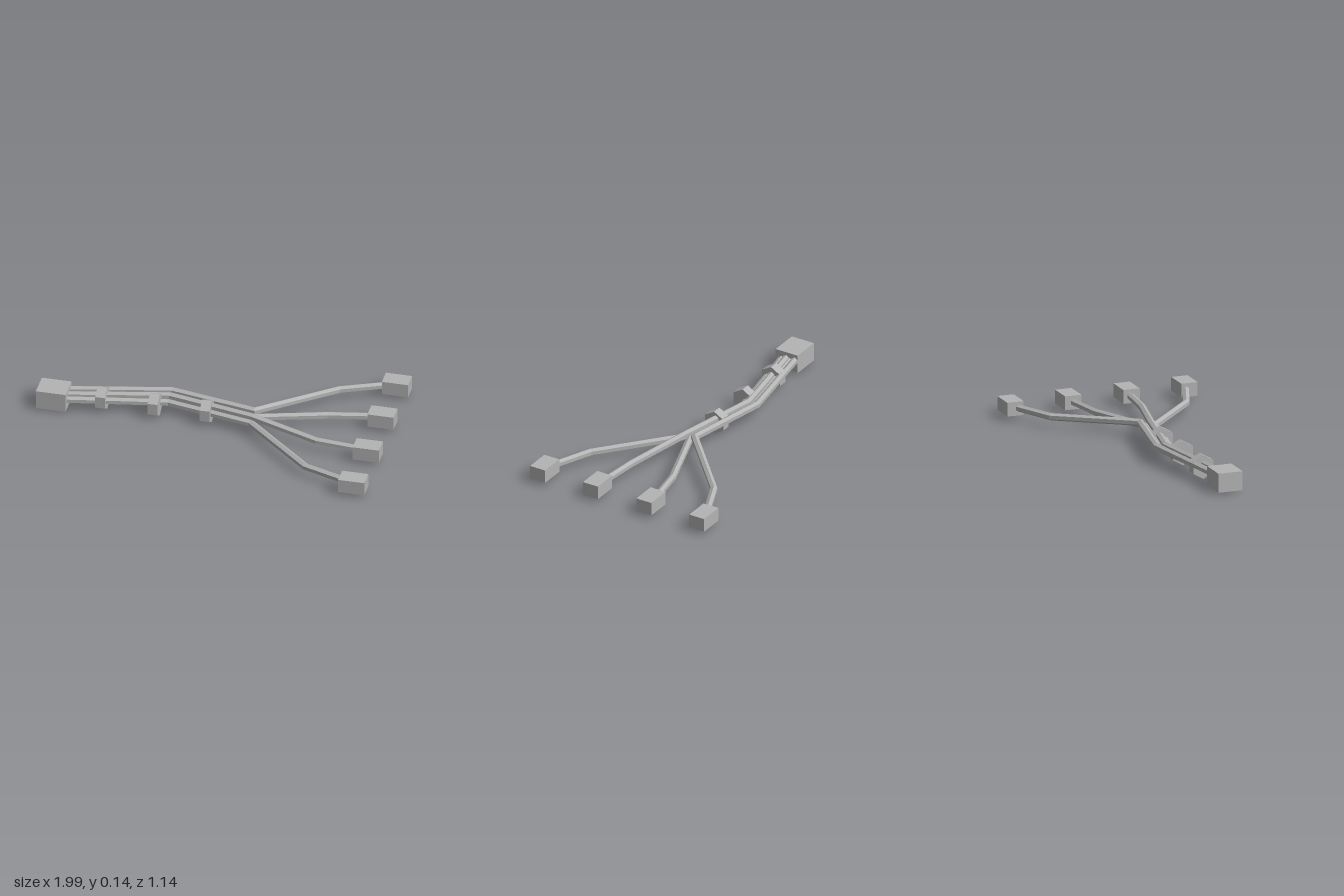
import * as THREE from 'three';

// Hexagonal cable swept along a polyline, mitred at each bend, one corner up
function cableGeometry(points, radius) {
  const sides = 6, rings = [];
  const up = new THREE.Vector3(0, 1, 0);
  points.forEach((p, i) => {
    const before = points[Math.max(i - 1, 0)], after = points[Math.min(i + 1, points.length - 1)];
    const a = new THREE.Vector3().subVectors(p, before).normalize();
    const b = new THREE.Vector3().subVectors(after, p).normalize();
    const tangent = a.clone().add(b).normalize();
    const lateral = new THREE.Vector3().crossVectors(tangent, up).normalize();
    const mitre = 1 / Math.max(tangent.dot(i ? a : b), 0.5);
    const ring = [];
    for (let k = 0; k < sides; k++) {
      const angle = Math.PI / 2 + (k * Math.PI * 2) / sides;
      ring.push(p.clone()
        .addScaledVector(lateral, Math.cos(angle) * radius * mitre)
        .addScaledVector(up, Math.sin(angle) * radius));
    }
    rings.push(ring);
  });
  const corners = [];
  for (let i = 0; i < rings.length - 1; i++) {
    for (let k = 0; k < sides; k++) {
      const n = (k + 1) % sides;
      const a = rings[i][k], b = rings[i + 1][k], c = rings[i + 1][n], d = rings[i][n];
      corners.push(a, b, c, a, c, d);
    }
  }
  const geometry = new THREE.BufferGeometry().setFromPoints(corners);
  geometry.computeVertexNormals();
  return geometry;
}

export function createModel() {
  const model = new THREE.Group();
  model.name = 'cableHarness';
  const grey = new THREE.MeshStandardMaterial({ color: 0xb4b4b4 });
  grey.name = 'plainGrey';
  grey.flatShading = true;

  const add = (name, geometry, x = 0, y = 0, z = 0) => {
    const mesh = new THREE.Mesh(geometry, grey);
    mesh.name = name;
    mesh.position.set(x, y, z);
    model.add(mesh);
  };

  // Main connector at the joined end
  add('mainConnector', new THREE.BoxGeometry(0.17, 0.11, 0.145), -0.912, 0.066, 0.025);

  // Four cables: z and y at the start, bend, fork, spread and plug
  const xs = [-0.86, -0.27, 0.225, 0.62, 0.87];
  const cables = [
    { z: [-0.02, -0.125, -0.027, -0.4, -0.508], y: [0.082, 0.097, 0.097, 0.065, 0.065] },
    { z: [0.012, -0.093, 0.005, -0.13, -0.175], y: [0.07, 0.072, 0.074, 0.062, 0.065] },
    { z: [0.035, -0.07, 0.035, 0.145, 0.17], y: [0.082, 0.097, 0.097, 0.065, 0.065] },
    { z: [0.065, -0.04, 0.062, 0.412, 0.508], y: [0.068, 0.07, 0.07, 0.06, 0.065] },
  ];
  cables.forEach(({ z, y }, i) => {
    const points = xs.map((x, j) => new THREE.Vector3(x, y[j], z[j]));
    add(`cable${i + 1}`, cableGeometry(points, 0.021));
  });

  // Small plugs on the forked ends
  [-0.522, -0.175, 0.175, 0.522].forEach((z, i) => {
    add(`plug${i + 1}`, new THREE.BoxGeometry(0.15, 0.08, 0.098), 0.922, 0.064, z);
  });

  // Hexagonal clamps along the bundle
  const clamp = new THREE.CylinderGeometry(0.069, 0.069, 0.056, 6);
  clamp.rotateY(Math.PI / 6).rotateZ(Math.PI / 2);
  [-0.64, -0.34, -0.042].forEach((x, i) => add(`clamp${i + 1}`, clamp, x, 0.07, -0.006));

  return model;
}
